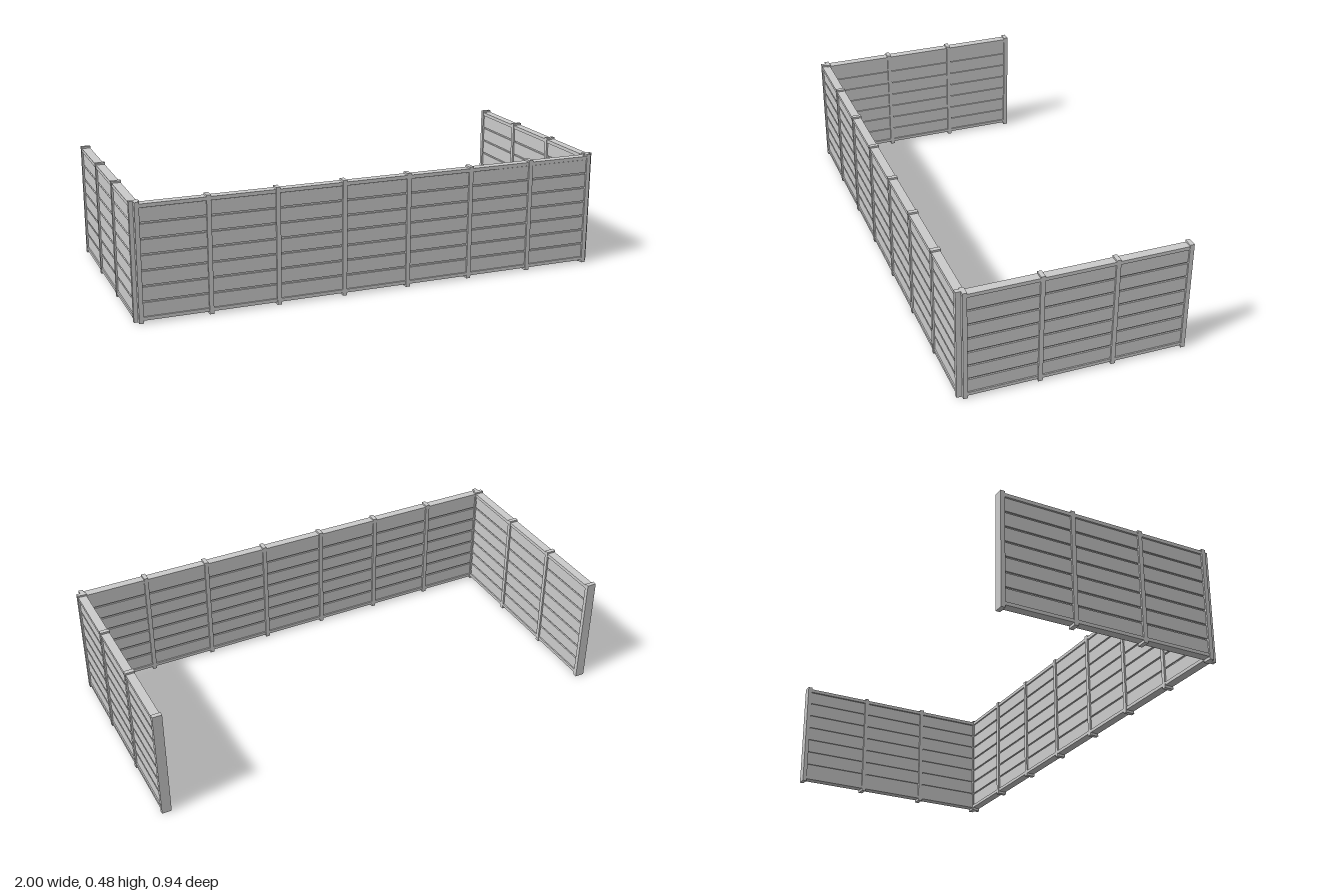
import * as THREE from 'three';

const material = new THREE.MeshStandardMaterial({ color: 0xcccccc, flatShading: true });
const HEIGHT = 0.482, POST = 0.018, DEPTH = 0.04;

function box(parent, name, w, h, d, x, y, z = 0) {
  const mesh = new THREE.Mesh(new THREE.BoxGeometry(w, h, d), material);
  mesh.name = name;
  mesh.position.set(x, y, z);
  parent.add(mesh);
}

// A fence run along x, centred on its own origin
function fence(name, bays, pitch) {
  const group = new THREE.Group();
  group.name = name;
  const length = bays * pitch;

  // Posts stand slightly proud of the rails at top and bottom
  for (let i = 0; i <= bays; i++) {
    box(group, 'post', POST, HEIGHT, DEPTH, -length / 2 + i * pitch, HEIGHT / 2);
  }

  // Bottom and top rails
  box(group, 'bottomRail', length, 0.014, 0.036, 0, 0.018);
  box(group, 'topRail', length, 0.015, 0.036, 0, 0.467);

  // Thin core closes the grooves between the boards
  box(group, 'core', length, 0.44, 0.014, 0, 0.242);

  // Seven horizontal boards in each bay
  const boards = 7, step = 0.0627;
  for (let i = 0; i < bays; i++) {
    const x = -length / 2 + (i + 0.5) * pitch;
    for (let j = 0; j < boards; j++) {
      box(group, 'board', pitch - POST, step - 0.007, 0.026, x, 0.0535 + j * step);
    }
  }
  return group;
}

export function createModel() {
  const model = new THREE.Group();
  model.name = 'fenceEnclosure';

  const front = fence('frontFence', 7, 0.2785);
  front.position.z = 0.45;
  model.add(front);

  // Matching side runs, open at the back
  for (const side of [-1, 1]) {
    const run = fence(side > 0 ? 'leftFence' : 'rightFence', 3, 0.3005);
    run.rotation.y = side * Math.PI / 2;
    run.position.set(side * 0.98, 0, -0.011);
    model.add(run);
  }
  return model;
}
